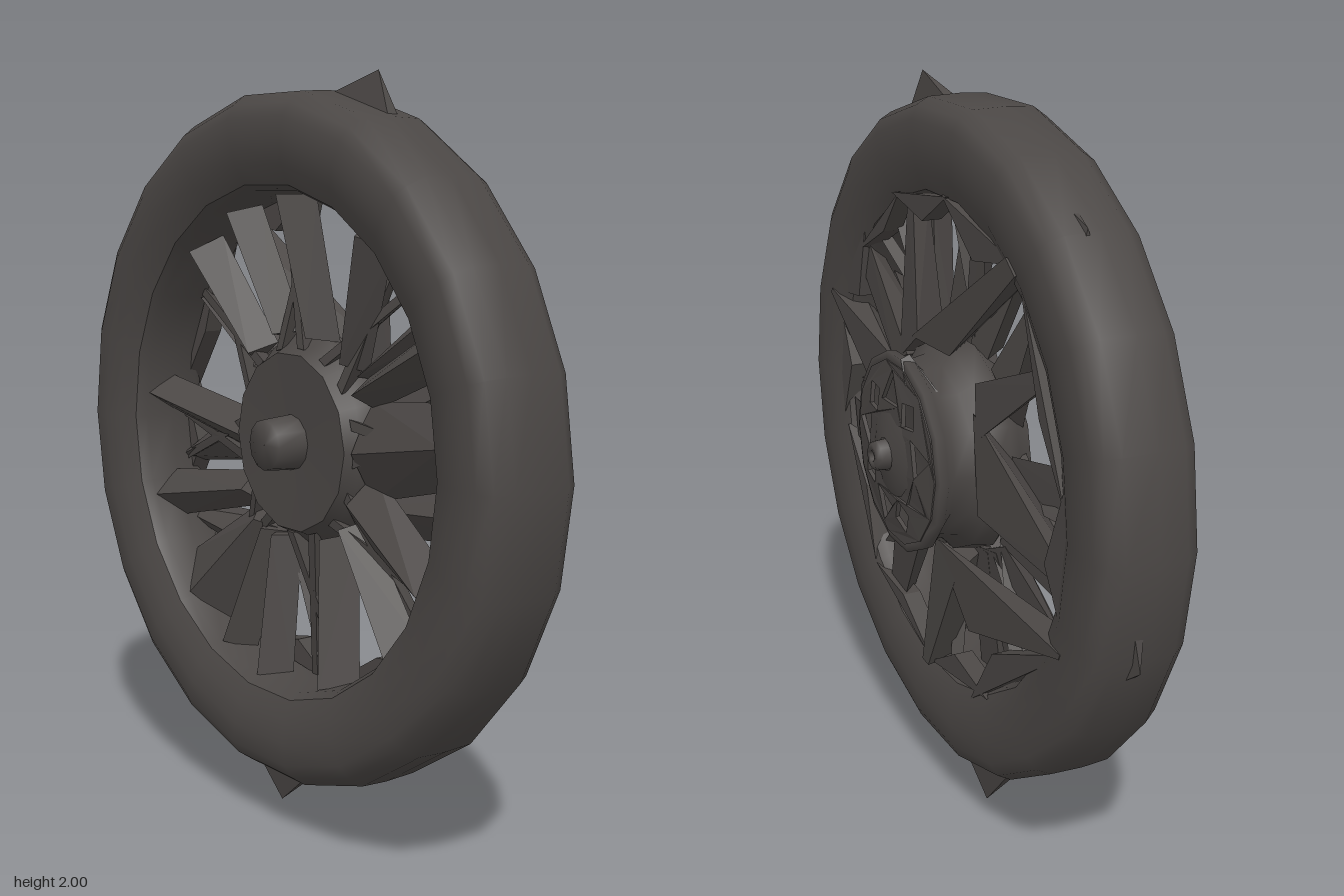
import * as THREE from 'three';
import { ConvexGeometry } from 'three/addons/geometries/ConvexGeometry.js';

const CY = 1.05; // height of the axle

export function createModel() {
  const model = new THREE.Group();
  const darkRubber = new THREE.MeshStandardMaterial({ color: 0x4b4745, side: THREE.DoubleSide });
  const add = (name, geometry, parent = model) => {
    const mesh = new THREE.Mesh(geometry, darkRubber);
    mesh.name = name;
    parent.add(mesh);
    return mesh;
  };
  const group = (name) => {
    const g = new THREE.Group();
    g.name = name;
    model.add(g);
    return g;
  };
  const P = (x, y, z) => new THREE.Vector3(x, y, z);

  // Turned part about the axle; profile points are [radius, x]
  const turned = (name, profile, sides) => {
    const g = new THREE.LatheGeometry(profile.map(([r, x]) => new THREE.Vector2(r, x)), sides);
    g.rotateZ(-Math.PI / 2);
    return add(name, g.translate(0, CY, 0));
  };

  // Tyre with chamfered shoulders, and the rim band inside it
  turned('tyre', [
    [0.68, -0.19], [0.73, -0.215], [0.79, -0.227], [0.85, -0.225], [0.885, -0.205], [0.913, -0.165],
    [0.917, -0.09], [0.914, 0], [0.895, 0.035], [0.86, 0.052], [0.8, 0.055], [0.73, 0.047], [0.68, 0.025],
  ], 22);
  turned('rim', [[0.68, 0.025], [0.665, 0.0], [0.655, -0.08], [0.665, -0.16], [0.68, -0.19]], 22);

  // Pointed tears standing out of the tread: tip then two base points, as [z, y]
  const spikes = group('treadSpikes');
  [
    [[0.29, 2.0], [0.38, 1.84], [0.06, 1.93]],
    [[-0.13, 0.0], [0.09, 0.17], [-0.36, 0.25]],
    [[-0.905, 0.78], [-0.87, 0.95], [-0.8, 0.7]],
    [[-0.605, 1.755], [-0.4, 1.83], [-0.6, 1.68]],
  ].forEach(([t, a, b]) => {
    const pts = [P(-0.055, t[1], t[0])];
    for (const x of [-0.085, -0.04]) pts.push(P(x, a[1], a[0]), P(x, b[1], b[0]));
    add('treadSpike', new ConvexGeometry(pts), spikes);
  });

  // Tapering blade: tip and two root corners as [z, y], half width of the tip,
  // and x of the root face, tip face, back ridge at the root and back of the tip
  const blade = (name, parent, [t, a, b, w], [rootX, tipX, ridgeX, backX]) => {
    const dz = t[0], dy = t[1] - CY, k = w / Math.hypot(dz, dy);
    const pts = [P(rootX, a[1], a[0]), P(rootX, b[1], b[0]),
      P(ridgeX, (a[1] + b[1]) / 2, (a[0] + b[0]) / 2), P(backX, t[1], t[0])];
    for (const s of [-k, k]) pts.push(P(tipX, t[1] + s * dz, t[0] - s * dy));
    add(name, new ConvexGeometry(pts), parent);
  };

  // Broad front spokes, the first four reaching over the face of the tyre
  const spokes = group('spokes');
  [
    [[0.72, 1.31], [0.25, 1.22], [0.26, 0.99], 0.008],
    [[-0.44, 1.64], [0.14, 1.32], [-0.1, 1.33], 0.03],
    [[-0.72, 0.76], [0.0, 0.79], [-0.22, 0.6], 0.008],
    [[0.05, 0.38], [-0.01, 0.78], [-0.15, 0.74], 0.02],
    [[-0.67, 0.92], [-0.24, 1.22], [-0.27, 0.95], 0.02],
    [[0.64, 0.93], [0.25, 1.0], [0.2, 0.8], 0.06],
    [[0.34, 0.47], [0.24, 0.86], [0.06, 0.8], 0.05],
    [[0.22, 1.67], [0.22, 1.24], [0.1, 1.33], 0.02],
    [[0.54, 1.45], [0.26, 1.22], [0.17, 1.26], 0.05],
    [[-0.55, 1.4], [-0.25, 1.3], [-0.26, 1.15], 0.02],
  ].forEach((s, i) => blade('spoke', spokes, s, [0.05, i < 4 ? 0.055 : 0.015, -0.06, -0.04]));

  // Rear spokes closing most of the gaps
  const rearSpokes = group('rearSpokes');
  [
    [[0.66, 1.12], [0.25, 1.18], [0.26, 0.92], 0.1],
    [[0.57, 0.75], [0.27, 1.0], [0.2, 0.83], 0.06],
    [[0.45, 0.57], [0.24, 0.87], [0.16, 0.82], 0.06],
    [[0.18, 0.42], [0.2, 0.83], [0.04, 0.78], 0.08],
    [[-0.1, 0.39], [-0.05, 0.78], [-0.15, 0.78], 0.06],
    [[-0.27, 0.45], [-0.1, 0.78], [-0.2, 0.8], 0.06],
    [[-0.44, 0.56], [-0.12, 0.78], [-0.25, 0.84], 0.14],
    [[-0.62, 0.82], [-0.22, 0.84], [-0.27, 0.93], 0.07],
    [[-0.65, 1.12], [-0.27, 1.1], [-0.25, 0.98], 0.05],
    [[-0.42, 1.54], [-0.25, 1.24], [-0.16, 1.3], 0.07],
    [[-0.23, 1.65], [-0.14, 1.32], [-0.04, 1.34], 0.06],
    [[0.0, 1.7], [0.12, 1.32], [0.0, 1.34], 0.07],
    [[0.33, 1.6], [0.24, 1.25], [0.17, 1.3], 0.06],
    [[0.58, 1.34], [0.27, 1.16], [0.24, 1.24], 0.06],
  ].forEach((s) => blade('rearSpoke', rearSpokes, s, [-0.04, -0.08, -0.11, -0.16]));

  // Thin crossing struts between the hub and the rim
  const struts = group('crossStruts');
  const polar = (r, a, x) => P(x, CY + r * Math.sin(a), -r * Math.cos(a));
  for (let i = 0; i < 16; i++) {
    const a = (i / 16) * Math.PI * 2 + 0.1, lean = i % 2 ? 0.3 : -0.3;
    const pts = [polar(0.25, a - 0.06, -0.1), polar(0.25, a + 0.06, -0.1), polar(0.25, a, -0.05),
      polar(0.675, a + lean - 0.015, -0.03), polar(0.675, a + lean + 0.02, -0.03), polar(0.675, a + lean, 0.0)];
    add('crossStrut', new ConvexGeometry(pts), struts);
  }

  // Flat jagged webs along the inside of the rim, as three [z, y] corners
  const webs = group('rimWebs');
  [
    [[0.72, 1.31], [0.7, 0.89], [0.62, 1.1]],
    [[0.72, 1.31], [0.5, 1.53], [0.55, 1.33]],
    [[0.66, 0.9], [0.46, 0.53], [0.52, 0.75]],
    [[-0.44, 1.64], [-0.7, 1.1], [-0.56, 1.3]],
    [[-0.44, 1.64], [-0.02, 1.73], [-0.2, 1.6]],
    [[-0.72, 0.76], [-0.2, 0.38], [-0.33, 0.58]],
    [[-0.72, 0.76], [-0.7, 1.2], [-0.6, 0.95]],
    [[0.05, 0.38], [0.45, 0.52], [0.25, 0.5]],
    [[0.05, 0.38], [-0.3, 0.43], [-0.1, 0.47]],
    [[0.3, 1.68], [-0.05, 1.73], [0.1, 1.64]],
    [[0.56, 1.46], [0.25, 1.69], [0.36, 1.56]],
  ].forEach((tri) => {
    const pts = tri.flatMap(([z, y]) => [P(0.035, y, z), P(-0.02, y, z)]);
    add('rimWeb', new ConvexGeometry(pts), webs);
  });

  // Hub barrel swelling in the middle and flaring to a flange in front
  turned('hubBarrel', [
    [0.24, -0.12], [0.26, -0.08], [0.295, -0.04], [0.285, 0.02], [0.25, 0.05], [0.24, 0.1], [0.27, 0.13],
    [0.272, 0.155], [0.24, 0.16], [0.225, 0.12], [0.01, 0.11],
  ], 14);
  turned('hubBackPlate', [[0.001, -0.11], [0.24, -0.12]], 14);
  turned('rearAxleStub', [[0.001, -0.2], [0.068, -0.2], [0.075, -0.11]], 12);

  // Torn point at the edge of the flange
  add('flangePoint', new ConvexGeometry([
    P(0.135, 1.33, -0.04), P(0.16, 1.32, -0.04), P(0.08, 1.24, 0.08), P(0.08, 1.22, -0.16), P(0.165, 1.26, -0.08),
  ]));

  // Pierced hub cap, domed towards its middle
  const disc = new THREE.Shape().absarc(0, 0, 0.25, 0, Math.PI * 2, false);
  const pierce = (r, a, size, corners) => {
    const hole = new THREE.Path();
    for (let k = 0; k < corners; k++) {
      const t = a - (k / corners) * Math.PI * 2;
      const x = r * Math.cos(a) + size * Math.cos(t), y = r * Math.sin(a) + size * Math.sin(t);
      if (k) hole.lineTo(x, y); else hole.moveTo(x, y);
    }
    hole.closePath();
    disc.holes.push(hole);
  };
  for (let i = 0; i < 9; i++) pierce(0.17, (i / 9) * Math.PI * 2 + 0.2, i % 2 ? 0.045 : 0.06, i % 2 ? 4 : 3);
  const cap = new THREE.ExtrudeGeometry(disc, { depth: 0.012, bevelEnabled: false, curveSegments: 7 });
  const pos = cap.attributes.position;
  for (let i = 0; i < pos.count; i++) {
    pos.setZ(i, pos.getZ(i) + 0.03 * (1 - Math.hypot(pos.getX(i), pos.getY(i)) / 0.25));
  }
  cap.computeVertexNormals();
  cap.rotateY(Math.PI / 2).translate(0.15, CY, 0);
  add('hubCap', cap);

  // Raised centre and axle nub
  turned('capCentre', [[0.12, 0.172], [0.09, 0.182], [0.045, 0.19]], 12);
  turned('axleNub', [[0.045, 0.18], [0.042, 0.215], [0.034, 0.228], [0.015, 0.228], [0.012, 0.2], [0.001, 0.2]], 8);

  return model;
}
